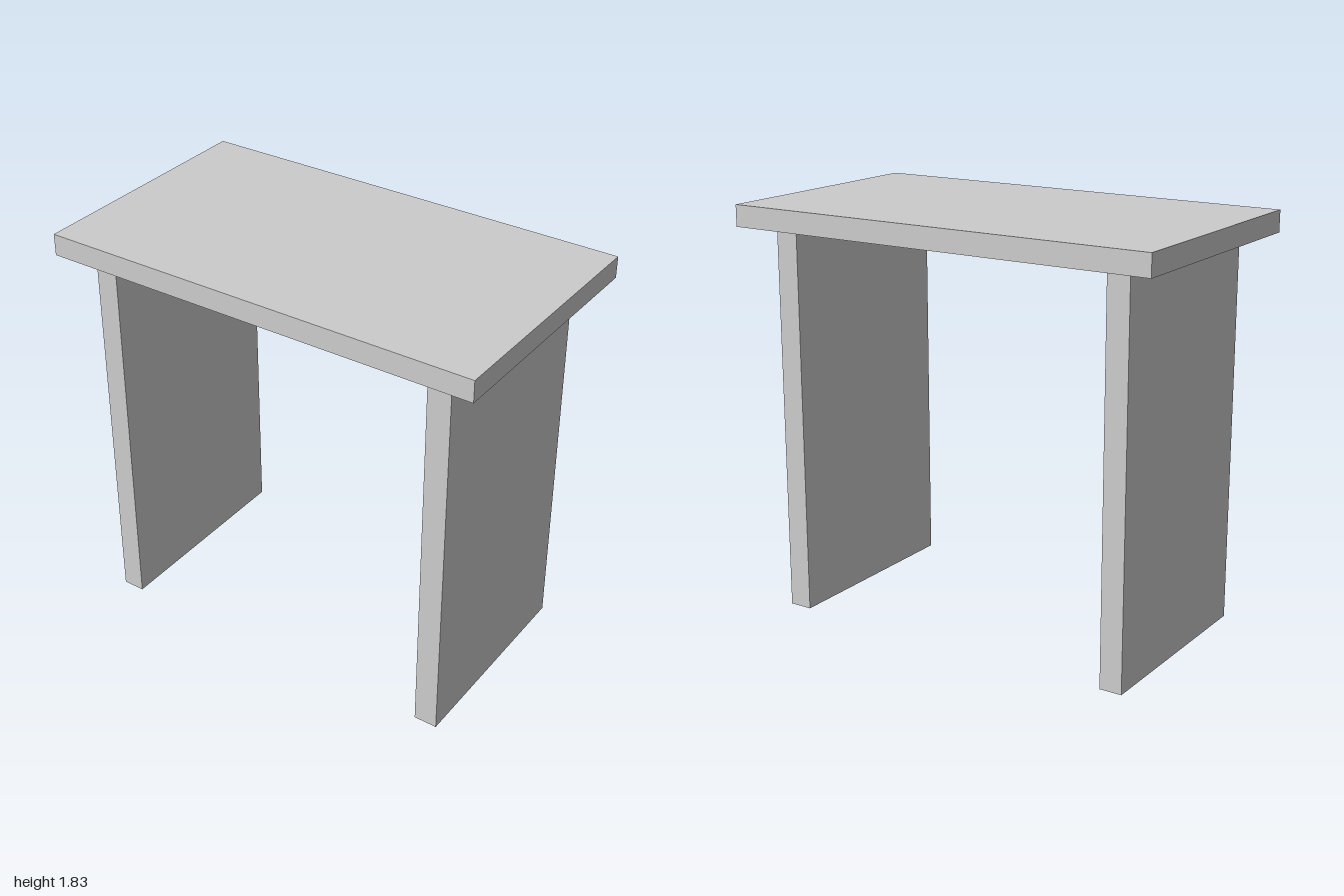
import * as THREE from 'three';

const material = new THREE.MeshStandardMaterial({ color: 0xcccccc, flatShading: true });

// Box given by its extents along x and y, centred on z = 0
function slab(name, x0, x1, y0, y1, depth) {
  const mesh = new THREE.Mesh(new THREE.BoxGeometry(x1 - x0, y1 - y0, depth), material);
  mesh.position.set((x0 + x1) / 2, (y0 + y1) / 2, 0);
  mesh.name = name;
  return mesh;
}

export function createModel() {
  const table = new THREE.Group();
  table.name = 'table';
  const underside = 1.738;

  // Overhanging top board
  table.add(slab('tableTop', -1, 1, underside, 1.834, 1.136));

  // Panel legs, the left one set slightly further in
  table.add(slab('rightLeg', -0.863, -0.762, 0, underside, 0.947));
  table.add(slab('leftLeg', 0.751, 0.856, 0, underside, 0.947));

  return table;
}
